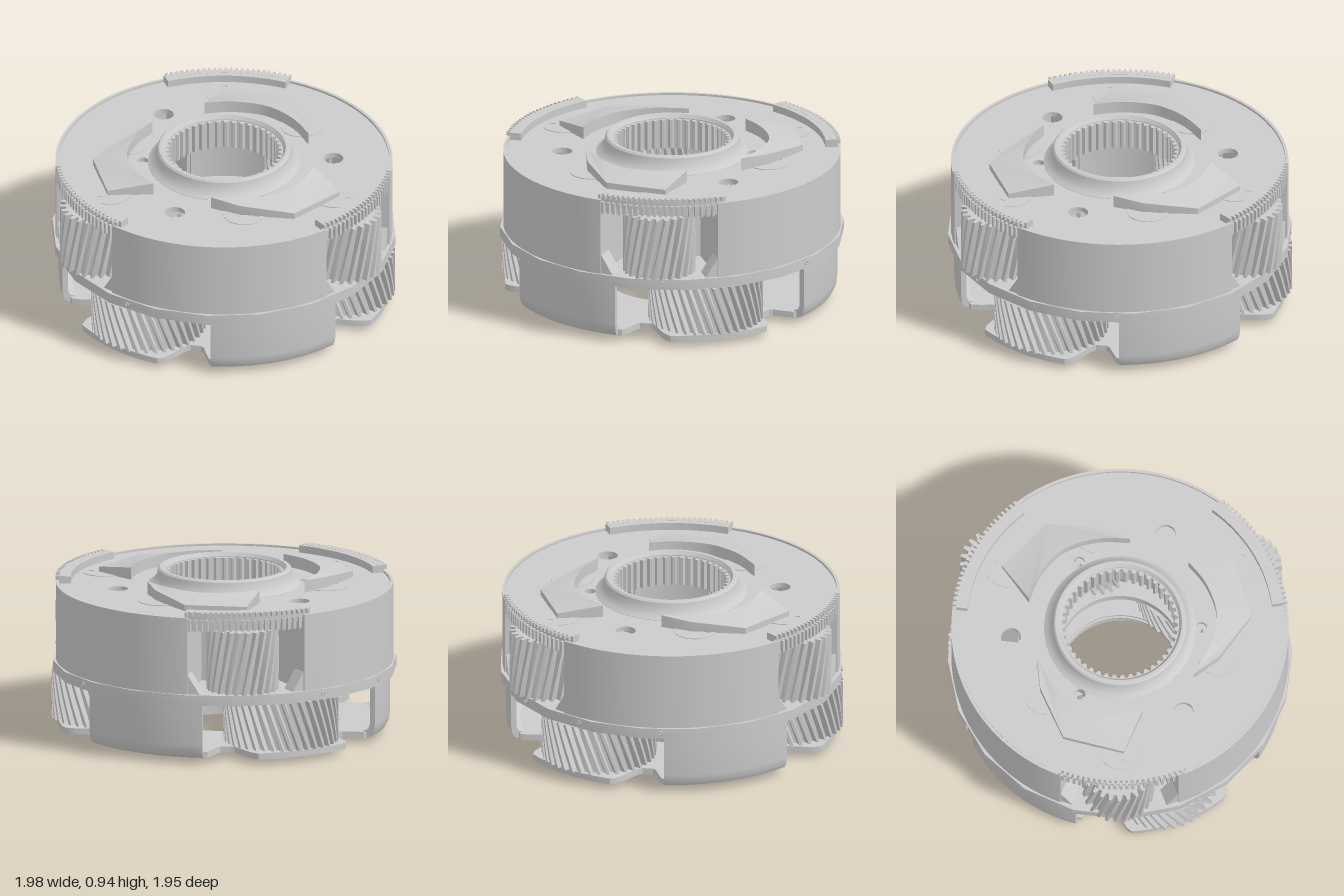
import * as THREE from 'three';
import { toCreasedNormals } from 'three/addons/utils/BufferGeometryUtils.js';

const material = new THREE.MeshStandardMaterial({ color: 0xcccccc, side: THREE.DoubleSide });
const rad = THREE.MathUtils.degToRad;
const polar = (r, a) => [r * Math.cos(a), r * Math.sin(a)];
const CENTRE = [-0.02, -0.01];

export function createModel() {
  const model = new THREE.Group();
  model.name = 'planetaryCarrier';
  const carrier = new THREE.Group();
  carrier.name = 'carrier';
  carrier.position.set(CENTRE[0], 0, CENTRE[1]);
  model.add(carrier);

  const add = (name, geometry, parent = carrier) => {
    const mesh = new THREE.Mesh(geometry, material);
    mesh.name = name;
    parent.add(mesh);
    return mesh;
  };
  // Plan shape (x, z) raised from y0 to y1
  const slab = (shape, y0, y1, curveSegments = 16, steps = 1) => {
    const g = new THREE.ExtrudeGeometry(shape, { depth: y1 - y0, bevelEnabled: false, curveSegments, steps });
    g.rotateX(Math.PI / 2).translate(0, y1, 0);
    return toCreasedNormals(g, 0.5);
  };
  const disc = (r, x = 0, z = 0) => new THREE.Shape().absarc(x, z, r, 0, Math.PI * 2, false);
  const hole = (r, x = 0, z = 0) => new THREE.Path().absarc(x, z, r, 0, Math.PI * 2, true);
  const ring = (r0, r1) => {
    const s = disc(r1);
    s.holes.push(hole(r0));
    return s;
  };
  const sector = (r0, r1, a0, a1) => new THREE.Shape()
    .absarc(0, 0, r1, a0, a1, false).absarc(0, 0, r0, a1, a0, true);
  // Closed toothed outline
  const toothPoints = (root, tip, n) => {
    const pts = [];
    for (let i = 0; i < n; i++) {
      [[0, root], [0.34, root], [0.5, tip], [0.82, tip]].forEach(([f, r]) =>
        pts.push(new THREE.Vector2(...polar(r, (i + f) / n * Math.PI * 2))));
    }
    return pts;
  };
  const helicalGear = (tip, depth, n, y0, y1, twist) => {
    const g = slab(new THREE.Shape(toothPoints(tip - depth, tip, n)), y0, y1, 8, 5);
    const p = g.attributes.position;
    for (let i = 0; i < p.count; i++) {
      const t = twist * (p.getY(i) - y0) / (y1 - y0), x = p.getX(i), z = p.getZ(i);
      p.setX(i, x * Math.cos(t) + z * Math.sin(t));
      p.setZ(i, z * Math.cos(t) - x * Math.sin(t));
    }
    return toCreasedNormals(g, 0.4);
  };
  // Toothed arc band
  const rack = (r0, r1, tip, a0, a1, n) => {
    const s = new THREE.Shape().moveTo(...polar(r0, a0));
    const step = (a1 - a0) / n;
    for (let i = 0; i < n; i++) {
      const a = a0 + i * step;
      [[0, r1], [0.45, r1], [0.5, tip], [0.95, tip]].forEach(([f, r]) => s.lineTo(...polar(r, a + f * step)));
    }
    s.lineTo(...polar(r1, a1));
    return s.absarc(0, 0, r0, a1, a0, true);
  };

  // Twenty-sided flange and middle plate
  const flange = new THREE.LatheGeometry(
    [[0.92, 0.35], [0.975, 0.35], [0.975, 0.41], [0.92, 0.41]].map(p => new THREE.Vector2(...p)), 20);
  add('flange', toCreasedNormals(flange, 0.5));
  add('middlePlate', slab(ring(0.35, 0.945), 0.352, 0.41, 48));

  // Top plate with drilled holes
  const top = ring(0.34, 0.935);
  for (let i = 0; i < 3; i++) {
    top.holes.push(hole(0.057, ...polar(0.62, rad(-45 + 120 * i))));
    top.holes.push(hole(0.032, ...polar(0.46, rad(20 + 120 * i))));
  }
  add('topPlate', slab(top, 0.815, 0.843, 32));

  // Central hub and its internal spline
  const hub = [[0.335, 0.74], [0.43, 0.74], [0.43, 0.845], [0.41, 0.858], [0.385, 0.89], [0.378, 0.93],
    [0.368, 0.94], [0.35, 0.94], [0.335, 0.92], [0.335, 0.74]];
  add('hub', toCreasedNormals(new THREE.LatheGeometry(hub.map(p => new THREE.Vector2(...p)), 64), 0.6));
  const spline = disc(0.338);
  spline.holes.push(new THREE.Path(toothPoints(0.31, 0.328, 44)));
  add('hubSpline', slab(spline, 0.745, 0.915, 32));

  // Bottom plate: bulges under each big pinion, notched at each side
  const outline = [];
  for (let i = 0; i < 240; i++) {
    const a = i * 1.5, d = Math.abs(((a + 31 + 60) % 120) - 60);
    const s = THREE.MathUtils.smoothstep;
    const r = d < 27 ? 0.945 - 0.2 * s(d, 17, 26) : 0.745 + 0.145 * s(d, 31, 36);
    outline.push(new THREE.Vector2(...polar(r, rad(a))));
  }
  const bottom = new THREE.Shape(outline);
  bottom.holes.push(hole(0.36));
  add('bottomPlate', slab(bottom, 0.03, 0.066, 48));
  add('bottomOuterRing', slab(ring(0.47, 0.645), 0.012, 0.032, 48));
  add('bottomInnerRing', slab(ring(0.35, 0.45), 0.002, 0.034, 48));
  add('bottomLip', slab(ring(0.35, 0.37), 0, 0.05, 48));

  const shellProfile = [[0.85, 0.031], [0.89, 0.031], [0.916, 0.042], [0.931, 0.07], [0.936, 0.11], [0.936, 0.355],
    [0.905, 0.355], [0.905, 0.11], [0.895, 0.08], [0.85, 0.064], [0.85, 0.031]].map(p => new THREE.Vector2(...p));

  // Three identical sets around the axis
  for (let k = 0; k < 3; k++) {
    const set = new THREE.Group();
    set.name = 'pinionSet' + (k + 1);
    set.rotation.y = -rad(120 * k);
    carrier.add(set);

    // Upper drum wall with pocket sides turned inward
    const a0 = rad(11), a1 = rad(90), t = 0.05;
    const wall = new THREE.Shape().absarc(0, 0, 0.955, a0, a1, false);
    wall.lineTo(...polar(0.58, a1));
    wall.lineTo(...polar(0.58, a1 - t));
    wall.absarc(0, 0, 0.9, a1 - t, a0 + t, true);
    wall.lineTo(...polar(0.58, a0 + t));
    wall.lineTo(...polar(0.58, a0));
    add('upperWall', slab(wall, 0.41, 0.838, 24), set);
    add('upperRim', slab(sector(0.938, 0.955, a0, a1), 0.83, 0.853, 24), set);
    add('pocketBack', slab(sector(0.56, 0.585, rad(-31), a0 + t), 0.41, 0.83), set);

    // Sloped lower corners of the window
    [[11, 1], [-30, -1]].forEach(([deg, side]) => {
      const tri = new THREE.Shape([[0, 0], [0.07 * side, 0], [0, 0.11]].map(p => new THREE.Vector2(...p)));
      const g = new THREE.ExtrudeGeometry(tri, { depth: 0.1, bevelEnabled: false });
      g.translate(0, 0.41, 0.845).rotateY(Math.PI / 2 - rad(deg));
      add('windowCorner', g, set);
    });

    // Lower shell post with rounded foot and end caps
    const b0 = rad(6), b1 = rad(53);
    add('lowerShell', toCreasedNormals(new THREE.LatheGeometry(shellProfile, 16, Math.PI / 2 - b1, b1 - b0), 0.6), set);
    [b0, b1].forEach(a => {
      add('shellEnd', new THREE.ShapeGeometry(new THREE.Shape(shellProfile)).rotateY(-a), set);
    });

    // Pinions
    const place = (mesh, r, deg) => {
      const [x, z] = polar(r, rad(deg));
      mesh.position.set(x, 0, z);
    };
    place(add('outerPinion', helicalGear(0.205, 0.035, 24, 0.42, 0.78, 0.38), set), 0.815, -9);
    place(add('innerPinion', helicalGear(0.195, 0.03, 24, 0.42, 0.78, -0.38), set), 0.56, 37);
    place(add('lowerPinion', helicalGear(0.325, 0.035, 38, 0.07, 0.35, -0.32), set), 0.655, -31);

    // Pin ends on the top and bottom plates
    [[0.735, -10], [0.585, 37]].forEach(([r, deg]) => {
      const pin = disc(0.12);
      pin.holes.push(hole(0.017, 0.07, -0.03));
      place(add('pinEnd', slab(pin, 0.83, 0.847), set), r, deg);
    });
    place(add('bottomBoss', slab(ring(0.06, 0.09), 0.008, 0.034), set), 0.63, -31);

    // Toothed arcs above the window
    add('arcBody', slab(sector(0.87, 0.935, rad(-33), rad(12)), 0.838, 0.885), set);
    add('arcTeeth', slab(rack(0.9, 0.932, 0.957, rad(-33), rad(12), 24), 0.862, 0.886), set);
    add('windowTeeth', slab(rack(0.86, 0.925, 0.952, rad(-30), rad(11), 20), 0.775, 0.842), set);

    // Curved oil deflector, sloping down outward
    const blade = new THREE.Shape().moveTo(-0.18, -0.72);
    blade.lineTo(0.1, -0.585);
    blade.lineTo(0.23, -0.46);
    blade.splineThru([[0.05, -0.525], [-0.15, -0.53], [-0.32, -0.44], [-0.43, -0.32]]
      .map(p => new THREE.Vector2(...p)));
    blade.lineTo(-0.5, -0.57);
    const g = slab(blade, 0.84, 0.91, 6);
    const p = g.attributes.position;
    for (let i = 0; i < p.count; i++) {
      if (p.getY(i) > 0.87) p.setY(i, 0.915 - 0.17 * Math.max(0, Math.hypot(p.getX(i), p.getZ(i)) - 0.53));
    }
    add('oilDeflector', toCreasedNormals(g, 0.5), set);

    // Small drilled eyelets around the flange
    [54, 83, 109].forEach(deg => {
      const eye = new THREE.TorusGeometry(0.011, 0.004, 6, 12);
      add('flangeEyelet', eye.translate(0, 0.383, 0.969).rotateY(Math.PI / 2 - rad(deg)), set);
    });
  }
  return model;
}
